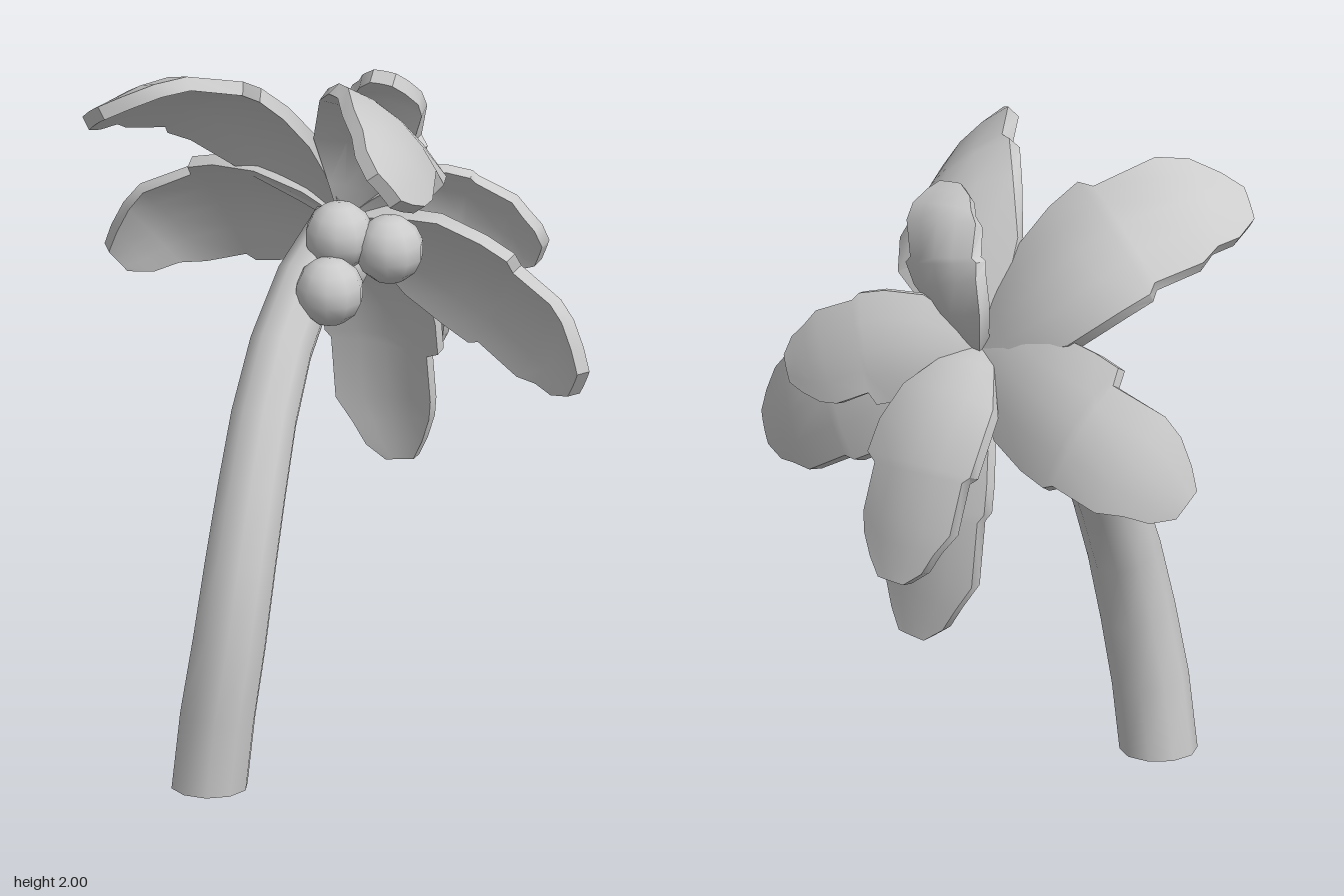
import * as THREE from 'three';
import { toCreasedNormals } from 'three/addons/utils/BufferGeometryUtils.js';

const V = (p) => new THREE.Vector3(...p);
const material = new THREE.MeshStandardMaterial({ color: 0xcccccc });
const ROOT = [0.23, 1.47, 0.04];

// Leaf outline: position along the midrib, width of each side (with notches)
const OUTLINE = [
  [0, 0.12, 0.12], [0.12, 0.5, 0.5], [0.28, 0.88, 0.9], [0.45, 1, 1], [0.56, 1.02, 1],
  [0.59, 0.78, 0.9], [0.78, 0.84, 0.86], [0.86, 0.74, 0.66], [0.94, 0.5, 0.52], [1, 0.26, 0.24],
];
const ACROSS = [-1, -0.5, 0, 0.5, 1];

// Thick, arched leaf blade lofted along a curved midrib
function leafGeometry(midrib, side, halfWidth, thickness = 0.042) {
  const curve = new THREE.CatmullRomCurve3([ROOT, ...midrib].map(V));
  const s0 = V(side);
  // the deeper notch is opposite "side"; the upper face is kept outward
  const t0 = curve.getTangentAt(0.5);
  const flip = s0.clone().cross(t0).dot(V([1, 1, 0])) < 0 ? -1 : 1;
  const pos = [], idx = [], n = ACROSS.length, ring = 2 * n;
  for (const [u, wa, wb] of OUTLINE) {
    const c = curve.getPointAt(u), t = curve.getTangentAt(u);
    const s = s0.clone().addScaledVector(t, -s0.dot(t)).normalize();
    const normal = s.clone().cross(t).multiplyScalar(flip);
    const point = (v, drop) => {
      const w = v * halfWidth * (v < 0 ? wa : wb);
      const arch = 0.22 * w * w / halfWidth;
      return c.clone().addScaledVector(s, w).addScaledVector(normal, 0.02 - arch - drop);
    };
    for (const v of ACROSS) pos.push(...point(v, 0).toArray());
    for (const v of [...ACROSS].reverse()) pos.push(...point(v, thickness).toArray());
  }
  const tri = (a, b, c) => idx.push(...(flip > 0 ? [a, b, c] : [a, c, b]));
  const last = (OUTLINE.length - 1) * ring;
  for (let i = 0; i < last; i += ring) {
    for (let j = 0; j < ring; j++) {
      const k = (j + 1) % ring;
      tri(i + j, i + k, i + ring + k);
      tri(i + j, i + ring + k, i + ring + j);
    }
  }
  // close both ends
  for (let j = 0; j < n - 1; j++) {
    const a = j, b = j + 1, c = ring - 2 - j, d = ring - 1 - j;
    tri(a, c, b); tri(a, d, c);
    tri(last + a, last + b, last + c); tri(last + a, last + c, last + d);
  }
  const g = new THREE.BufferGeometry();
  g.setAttribute('position', new THREE.Float32BufferAttribute(pos, 3));
  g.setIndex(idx);
  return toCreasedNormals(g, 0.7);
}

// Curved trunk: a tube narrowed towards the crown
function trunkGeometry() {
  const curve = new THREE.CatmullRomCurve3([
    [-0.55, 0, 0.195], [-0.535, 0.2, 0.21], [-0.5, 0.42, 0.225], [-0.4, 0.73, 0.2],
    [-0.2, 1.09, 0.12], [0, 1.31, 0.06], [0.2, 1.46, 0.04],
  ].map(V));
  const rows = 8, sides = 10;
  const g = new THREE.TubeGeometry(curve, rows, 0.112, sides);
  const p = g.attributes.position, v = new THREE.Vector3();
  for (let i = 0; i < p.count; i++) {
    const row = Math.floor(i / (sides + 1));
    const c = curve.getPointAt(row / rows);
    v.fromBufferAttribute(p, i).sub(c).multiplyScalar(1 - 0.25 * (row / rows) ** 1.5).add(c);
    p.setXYZ(i, v.x, row === 0 ? 0 : v.y, v.z);
  }
  return toCreasedNormals(g, 0.9);
}

export function createModel() {
  const group = new THREE.Group();
  const add = (name, geometry) => {
    const mesh = new THREE.Mesh(geometry, material);
    mesh.name = name;
    group.add(mesh);
    return mesh;
  };

  add('trunk', trunkGeometry());
  const base = add('trunkBase', new THREE.CircleGeometry(0.108, 10));
  base.rotation.x = Math.PI / 2;
  base.position.set(-0.55, 0, 0.195);

  // Coconuts clustered under the crown
  const nut = new THREE.SphereGeometry(0.1, 10, 7);
  [[0, 1.34, 0.17], [0.18, 1.435, 0.24], [0.1, 1.47, 0.12], [0.175, 1.345, 0.04]].forEach((p) => {
    add('coconut', nut).position.set(...p);
  });

  // Leaves: midrib points, direction across the blade, half width
  const leaves = [
    ['backRightLeaf', [[0.16, 1.67, -0.12], [-0.01, 1.84, -0.23], [-0.23, 1.9, -0.3], [-0.43, 1.86, -0.35]], [0.15, -0.25, -0.36], 0.225],
    ['frontRightLeaf', [[0.22, 1.72, 0.17], [0.13, 1.84, 0.3], [-0.03, 1.87, 0.46], [-0.28, 1.83, 0.62]], [-0.27, 0.31, -0.13], 0.21],
    ['backLeaf', [[0.28, 1.45, -0.2], [0.29, 1.41, -0.42], [0.24, 1.34, -0.6], [0.11, 1.2, -0.73]], [0.5, -0.8, 0], 0.2],
    ['leftLeaf', [[0.4, 1.42, -0.03], [0.53, 1.27, -0.05], [0.6, 1.08, -0.07], [0.64, 0.9, -0.07]], [-0.25, 0, -1], 0.18],
    ['lowerLeaf', [[0.36, 1.35, 0.03], [0.44, 1.12, 0.01], [0.47, 0.88, -0.01], [0.49, 0.67, 0.02]], [-0.3, 0, -1], 0.175],
    ['frontLeaf', [[0.36, 1.4, 0.2], [0.45, 1.29, 0.4], [0.48, 1.18, 0.57], [0.44, 1.07, 0.73]], [0.08, -0.3, -0.25], 0.2],
    ['frontLeftLeaf', [[0.37, 1.49, 0.13], [0.48, 1.47, 0.25], [0.55, 1.42, 0.37], [0.58, 1.37, 0.47]], [-0.07, 0.32, 0.05], 0.16],
    ['topLeaf', [[0.3, 1.58, 0.06], [0.33, 1.7, 0.1], [0.3, 1.84, 0.14], [0.22, 1.93, 0.18]], [-0.1, -0.2, -0.9], 0.135],
  ];
  for (const [name, midrib, side, halfWidth] of leaves) add(name, leafGeometry(midrib, side, halfWidth));
  return group;
}
